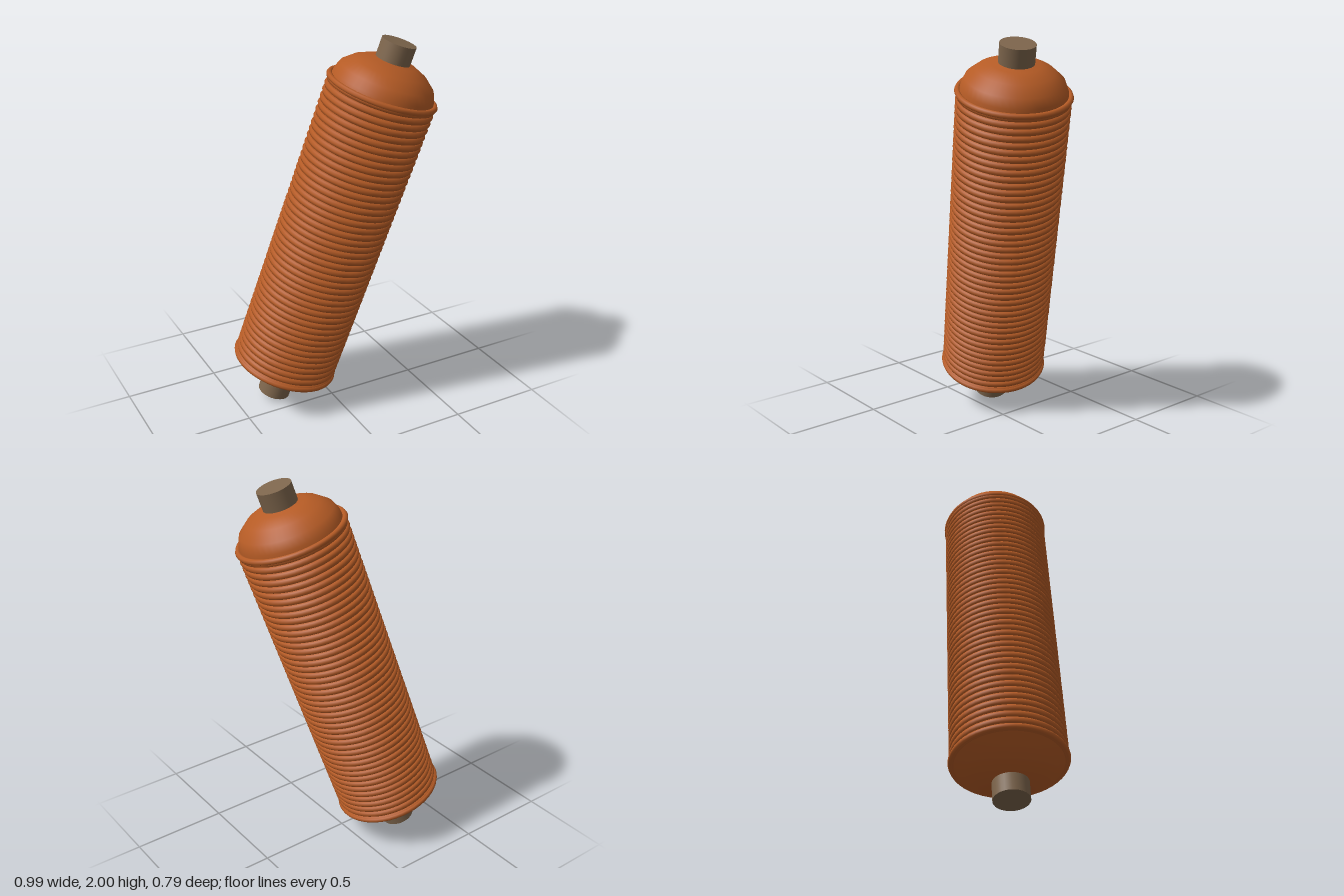
import * as THREE from 'three';

export function createModel() {
  const copper = new THREE.MeshStandardMaterial({ color: 0xb55b25 });
  copper.name = 'copper orange';
  const bronze = new THREE.MeshStandardMaterial({ color: 0x7d654c });
  bronze.name = 'dull bronze';

  const model = new THREE.Group();
  model.name = 'ribbedCanister';

  // Everything is built along a local vertical axis, then tilted
  const body = new THREE.Group();
  body.name = 'tiltedBody';
  body.position.y = 1;
  body.quaternion.setFromUnitVectors(
    new THREE.Vector3(0, 1, 0), new THREE.Vector3(0.278, 0.95, 0.143).normalize());
  model.add(body);

  const add = (name, geometry, material, y = 0) => {
    const mesh = new THREE.Mesh(geometry, material);
    mesh.name = name;
    mesh.position.y = y;
    body.add(mesh);
    return mesh;
  };
  const lathe = (points) =>
    new THREE.LatheGeometry(points.map(([r, y]) => new THREE.Vector2(r, y)), 48);

  // Inner tube behind the coils
  add('core', new THREE.CylinderGeometry(0.262, 0.262, 1.61, 48, 1, true), copper, -0.02);

  // Domed ends: the top is taller, the bottom shallower
  add('topDome', lathe([
    [0.262, 0.77], [0.257, 0.805], [0.238, 0.85], [0.185, 0.895], [0.12, 0.925], [0, 0.945],
  ]), copper);
  add('bottomDome', lathe([
    [0, -0.945], [0.08, -0.935], [0.15, -0.908], [0.21, -0.872], [0.265, -0.825],
  ]), copper);

  // Stacked coils round the tube
  const count = 46, low = -0.815, high = 0.765;
  const coil = new THREE.TorusGeometry(0.26, 0.0185, 8, 48).rotateX(Math.PI / 2);
  for (let i = 0; i < count; i++) {
    add('coil', coil, copper, low + (high - low) * i / (count - 1));
  }

  // Slightly proud lips at both ends
  const lip = new THREE.TorusGeometry(0.269, 0.015, 8, 48).rotateX(Math.PI / 2);
  add('topLip', lip, copper, 0.777);
  add('bottomLip', lip, copper, -0.818);

  // End stubs
  const stub = new THREE.CylinderGeometry(0.087, 0.087, 0.124, 32);
  add('topStub', stub, bronze, 0.962);
  add('bottomStub', stub, bronze, -0.962);

  return model;
}
